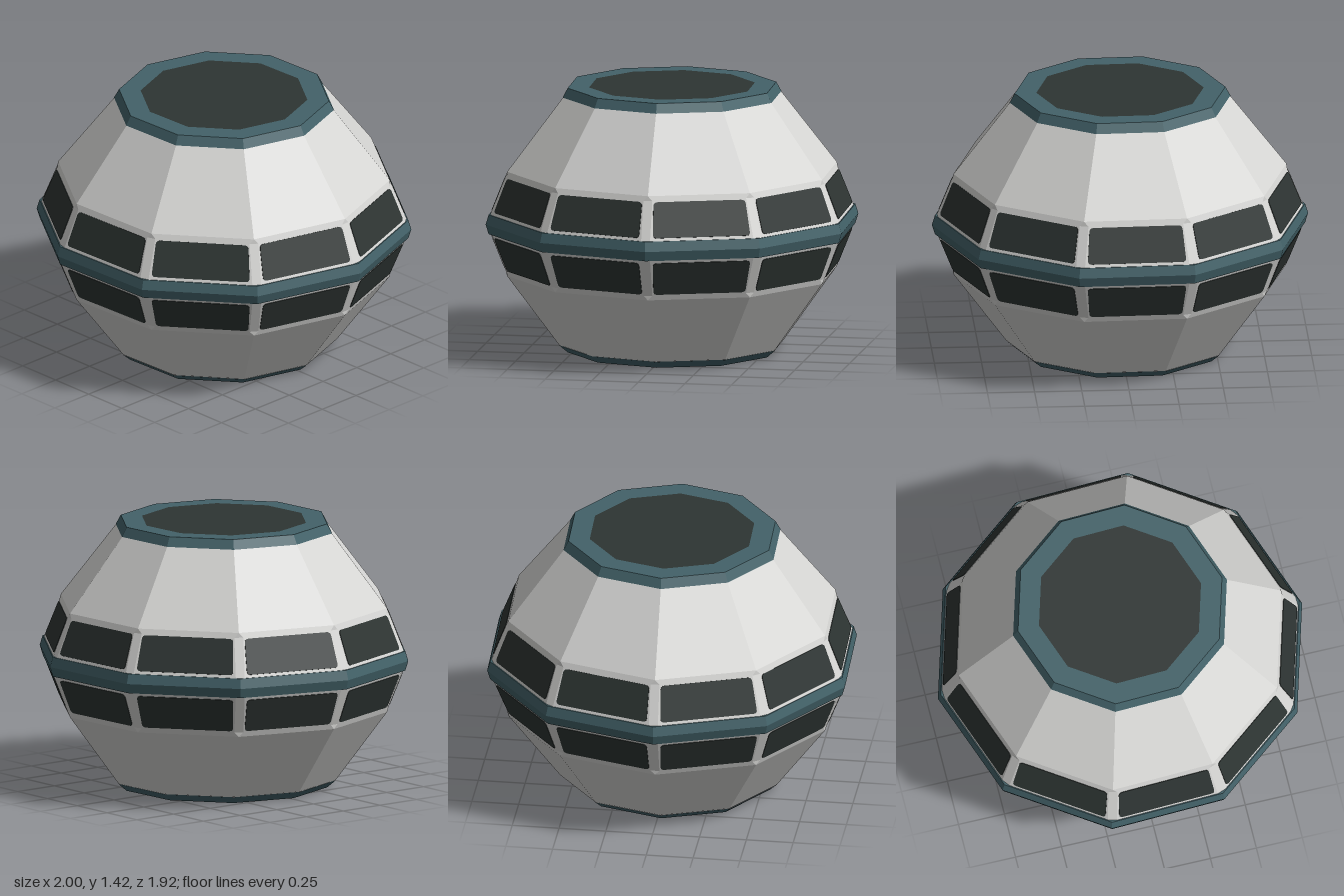
import * as THREE from 'three';

const SIDES = 10;
const TURN = -2 * Math.PI / 180;          // angle of the first corner
const STEP = Math.PI * 2 / SIDES;
const APOTHEM = Math.cos(STEP / 2);
const MID = 0.7;                          // height of the widest line

const white = new THREE.MeshStandardMaterial({ color: 0xd6d6d4 });
const teal = new THREE.MeshStandardMaterial({ color: 0x436269 });
const dark = new THREE.MeshStandardMaterial({ color: 0x2e3533 });
white.name = 'white shell';
teal.name = 'teal trim';
dark.name = 'dark glass';

// corner radius of the sloping window bands at a height
const bandRadius = y => 1 - 0.115 * Math.abs(y - MID) / 0.28;

function faceted(geometry) {
  const g = geometry.toNonIndexed();
  g.computeVertexNormals();
  return g;
}

// ten-sided turned part; profile entries are [radius, y, corner chamfer]
function turned(name, profile, material) {
  const points = profile.map(([r, y]) => new THREE.Vector2(r, y));
  const geo = new THREE.LatheGeometry(points, SIDES * 2);
  const pos = geo.attributes.position;
  const n = profile.length;
  for (let i = 0; i < pos.count; i++) {
    const [r, y, chamfer = 0] = profile[i % n];
    const seg = Math.floor(i / n);
    const corner = TURN - Math.floor(seg / 2) * STEP;
    // odd columns lie past the corner, even ones before it
    const next = corner + (seg % 2 ? -STEP : STEP);
    const k = r > 0 ? chamfer / (2 * r * Math.sin(STEP / 2)) : 0;
    pos.setXYZ(i,
      r * THREE.MathUtils.lerp(Math.cos(corner), Math.cos(next), k), y,
      r * THREE.MathUtils.lerp(Math.sin(corner), Math.sin(next), k));
  }
  const mesh = new THREE.Mesh(faceted(geo), material);
  mesh.name = name;
  return mesh;
}

// trapezoid with softened corners
function softShape(corners, radius) {
  const shape = new THREE.Shape();
  corners.forEach((c, i) => {
    const before = corners[(i + 3) % 4], after = corners[(i + 1) % 4];
    const a = c.clone().add(before.clone().sub(c).setLength(radius));
    const b = c.clone().add(after.clone().sub(c).setLength(radius));
    if (i === 0) shape.moveTo(a.x, a.y);
    else shape.lineTo(a.x, a.y);
    shape.quadraticCurveTo(c.x, c.y, b.x, b.y);
  });
  shape.closePath();
  return shape;
}

// thin window plates lying on one sloping band
function windowRow(name, y0, half0, y1, half1) {
  const row = new THREE.Group();
  row.name = name;
  const rise = y1 - y0;
  const out = (bandRadius(y1) - bandRadius(y0)) * APOTHEM;
  const length = Math.hypot(rise, out);
  const shape = softShape([
    new THREE.Vector2(-half0, 0), new THREE.Vector2(half0, 0),
    new THREE.Vector2(half1, length), new THREE.Vector2(-half1, length),
  ], 0.022);
  const geo = new THREE.ExtrudeGeometry(shape, { depth: 0.006, bevelEnabled: false, curveSegments: 4 });
  for (let i = 0; i < SIDES; i++) {
    const a = TURN + (i + 0.5) * STEP;
    const outward = new THREE.Vector3(Math.cos(a), 0, Math.sin(a));
    const across = new THREE.Vector3(0, 1, 0).cross(outward);
    const up = outward.clone().multiplyScalar(out).setY(rise).normalize();
    const normal = across.clone().cross(up);
    const origin = outward.clone().multiplyScalar(bandRadius(y0) * APOTHEM).setY(y0)
      .addScaledVector(normal, -0.003);
    const pane = new THREE.Mesh(geo, dark);
    pane.name = 'window';
    pane.applyMatrix4(new THREE.Matrix4().makeBasis(across, up, normal).setPosition(origin));
    row.add(pane);
  }
  return row;
}

export function createModel() {
  const model = new THREE.Group();
  model.name = 'faceted pod';

  // white shell with chamfered corner posts between the windows
  const c = 0.025;
  model.add(turned('shell', [
    [0.605, 0.04], [0.885, 0.42], [bandRadius(0.445), 0.445, c], [bandRadius(0.66), 0.66, c],
    [bandRadius(0.74), 0.74, c], [bandRadius(0.955), 0.955, c], [0.885, 0.98], [0.585, 1.37],
  ], white));

  // belt around the widest line
  model.add(turned('belt', [
    [0.96, 0.648], [0.984, 0.648], [1, MID], [0.984, 0.752], [0.96, 0.752],
  ], teal));

  // end rims and their flat dark panels
  model.add(turned('bottomRim', [[0.445, 0], [0.56, 0], [0.607, 0.04]], teal));
  model.add(turned('topRim', [[0.587, 1.37], [0.56, 1.42], [0.445, 1.42]], teal));
  model.add(turned('bottomPanel', [[0, 0], [0.445, 0]], dark));
  model.add(turned('topPanel', [[0.445, 1.42], [0, 1.42]], dark));

  // two rows of windows
  model.add(windowRow('upperWindows', 0.767, 0.262, 0.948, 0.246));
  model.add(windowRow('lowerWindows', 0.452, 0.246, 0.633, 0.262));
  return model;
}
